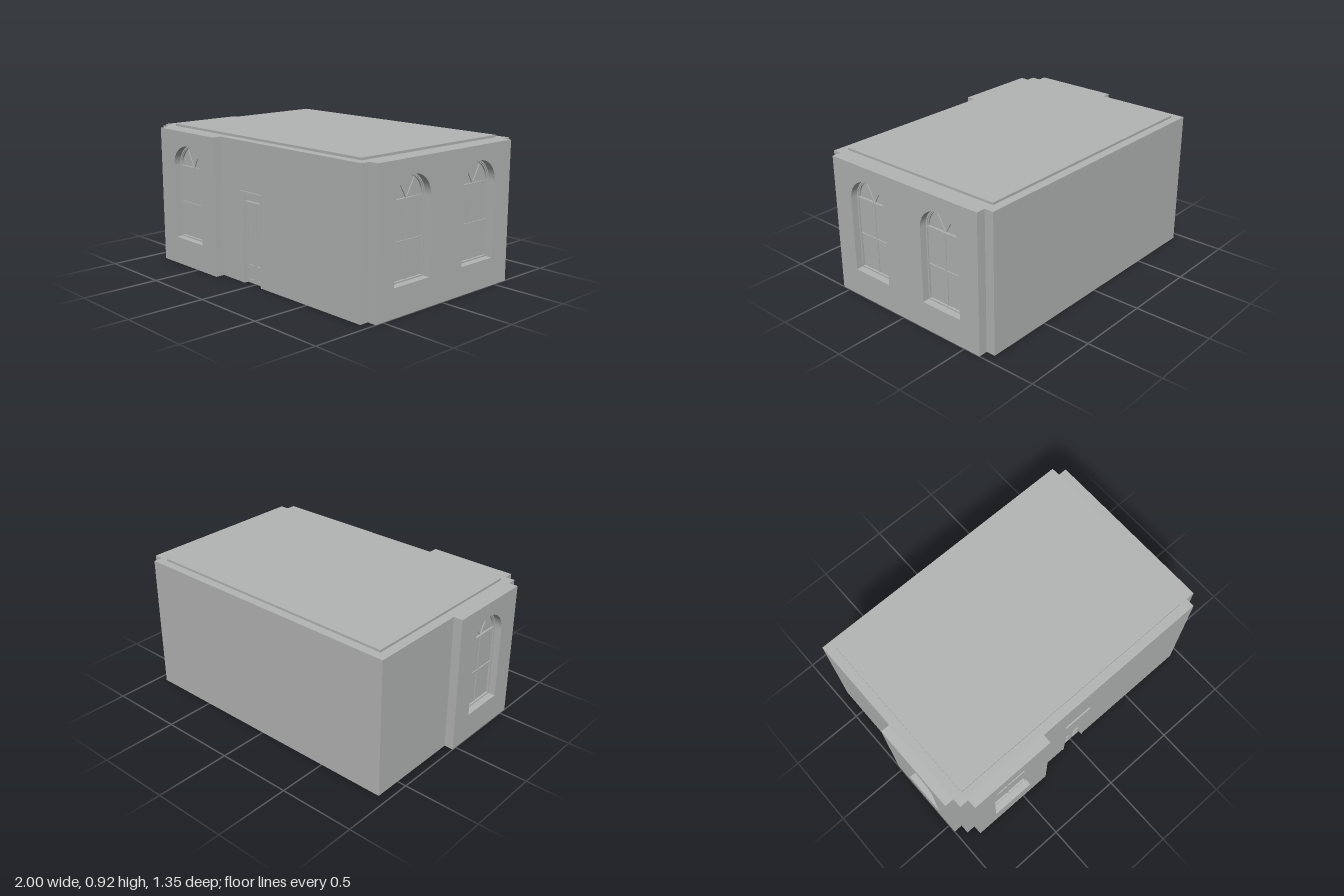
import * as THREE from 'three';

const wallGrey = new THREE.MeshStandardMaterial({ color: 0xb3b5b4 });
wallGrey.name = 'wallGrey';

function add(parent, geometry, name) {
  const mesh = new THREE.Mesh(geometry, wallGrey);
  mesh.name = name;
  parent.add(mesh);
  return mesh;
}

// Box given by its minimum and maximum corners
function box(parent, name, x0, x1, y0, y1, z0, z1) {
  const g = new THREE.BoxGeometry(x1 - x0, y1 - y0, z1 - z0);
  g.translate((x0 + x1) / 2, (y0 + y1) / 2, (z0 + z1) / 2);
  return add(parent, g, name);
}

function rect(path, x0, x1, y0, y1) {
  path.moveTo(x0, y0);
  path.lineTo(x1, y0);
  path.lineTo(x1, y1);
  path.lineTo(x0, y1);
  path.closePath();
  return path;
}

// Round-headed outline: straight sides up to the springing, then a half circle
const SILL = 0.18, SPRING = 0.66, RADIUS = 0.147;
function arched(path, cx, r, bottom) {
  path.moveTo(cx - r, bottom);
  path.lineTo(cx + r, bottom);
  path.lineTo(cx + r, SPRING);
  path.absarc(cx, SPRING, r, 0, Math.PI, false);
  path.closePath();
  return path;
}

function extrude(shape, depth) {
  return new THREE.ExtrudeGeometry(shape, { depth, bevelEnabled: false, curveSegments: 24 });
}

// Window joinery, standing on the recessed plane z = 0
function makeWindow(cx) {
  const w = new THREE.Group();
  w.name = 'archedWindow';
  w.position.x = cx;
  const frame = arched(new THREE.Shape(), 0, RADIUS, SILL);
  frame.holes.push(arched(new THREE.Path(), 0, 0.138, SILL + 0.009));
  add(w, extrude(frame, 0.014), 'windowFrame');

  // Fanlight surround and spokes
  const fan = new THREE.Shape();
  fan.absarc(0, SPRING, 0.139, 0, Math.PI, false);
  fan.closePath();
  const pane = new THREE.Path();
  pane.absarc(0, SPRING + 0.005, 0.128, 0, Math.PI, false);
  pane.closePath();
  fan.holes.push(pane);
  add(w, extrude(fan, 0.01), 'fanlightFrame');
  for (const a of [-1, 1]) {
    const g = new THREE.BoxGeometry(0.006, 0.13, 0.006);
    g.translate(0, 0.065, 0.003);
    const spoke = add(w, g, 'fanlightSpoke');
    spoke.position.y = SPRING;
    spoke.rotation.z = a * Math.PI / 6;
  }
  box(w, 'transom', -0.138, 0.138, 0.65, 0.664, 0, 0.014);

  // Upper sash sits proud of the lower one
  box(w, 'upperSash', -0.138, 0.138, 0.415, 0.65, 0, 0.005);
  box(w, 'meetingRail', -0.138, 0.138, 0.41, 0.422, 0, 0.011);
  box(w, 'upperMullion', -0.004, 0.004, 0.42, 0.65, 0, 0.01);
  box(w, 'lowerMullion', -0.004, 0.004, SILL, 0.415, 0, 0.006);
  return w;
}

// Projecting wall slab with arched openings; its windows sit at the back
function makeBay(name, x0, x1, centres) {
  const bay = new THREE.Group();
  bay.name = name;
  const wall = rect(new THREE.Shape(), x0, x1, 0, 0.9);
  for (const c of centres) {
    wall.holes.push(arched(new THREE.Path(), c, RADIUS, SILL));
    bay.add(makeWindow(c));
  }
  add(bay, extrude(wall, 0.06), 'bayWall');
  return bay;
}

function makeDoor() {
  const d = new THREE.Group();
  d.name = 'door';
  // Casing, transom and cornice
  for (const s of [-1, 1]) {
    const x = s * 0.085 - 0.002;
    box(d, 'doorJamb', x - 0.004, x + 0.004, 0, 0.575, 0, 0.033);
  }
  box(d, 'doorTransom', -0.085, 0.081, 0.513, 0.525, 0, 0.018);
  box(d, 'doorHead', -0.091, 0.087, 0.567, 0.58, 0, 0.034);
  box(d, 'doorCornice', -0.104, 0.1, 0.58, 0.59, 0.01, 0.039);
  // Pair of panelled leaves
  for (const [x0, x1] of [[-0.083, -0.003], [-0.001, 0.079]]) {
    const leaf = rect(new THREE.Shape(), x0, x1, 0.003, 0.513);
    leaf.holes.push(rect(new THREE.Path(), x0 + 0.014, x1 - 0.014, 0.025, 0.105));
    leaf.holes.push(rect(new THREE.Path(), x0 + 0.014, x1 - 0.014, 0.12, 0.495));
    add(d, extrude(leaf, 0.008), 'doorLeaf');
  }
  return d;
}

export function createModel() {
  const model = new THREE.Group();
  model.name = 'building';

  // Main body and raised roof
  box(model, 'body', -0.94, 0.94, 0, 0.9, -0.675, 0.585);
  box(model, 'roof', -0.88, 0.88, 0.9, 0.915, -0.62, 0.555);

  // Front wall with the door opening
  const front = new THREE.Shape();
  front.moveTo(-0.94, 0);
  for (const [x, y] of [[-0.091, 0], [-0.091, 0.575], [0.087, 0.575], [0.087, 0],
    [0.94, 0], [0.94, 0.9], [-0.94, 0.9]]) front.lineTo(x, y);
  front.closePath();
  add(model, extrude(front, 0.03), 'frontWall').position.z = 0.585;
  const door = makeDoor();
  door.position.z = 0.585;
  model.add(door);

  // Projecting bays on the front and both sides
  const frontBay = makeBay('frontBay', -0.88, -0.3, [-0.59]);
  frontBay.position.z = 0.615;
  const leftBay = makeBay('leftBay', -0.555, 0.615, [-0.265, 0.322]);
  leftBay.position.x = 0.94;
  leftBay.rotation.y = Math.PI / 2;
  const rightBay = makeBay('rightBay', -0.03, 0.555, [0.265]);
  rightBay.position.x = -0.94;
  rightBay.rotation.y = -Math.PI / 2;
  model.add(frontBay, leftBay, rightBay);
  return model;
}
